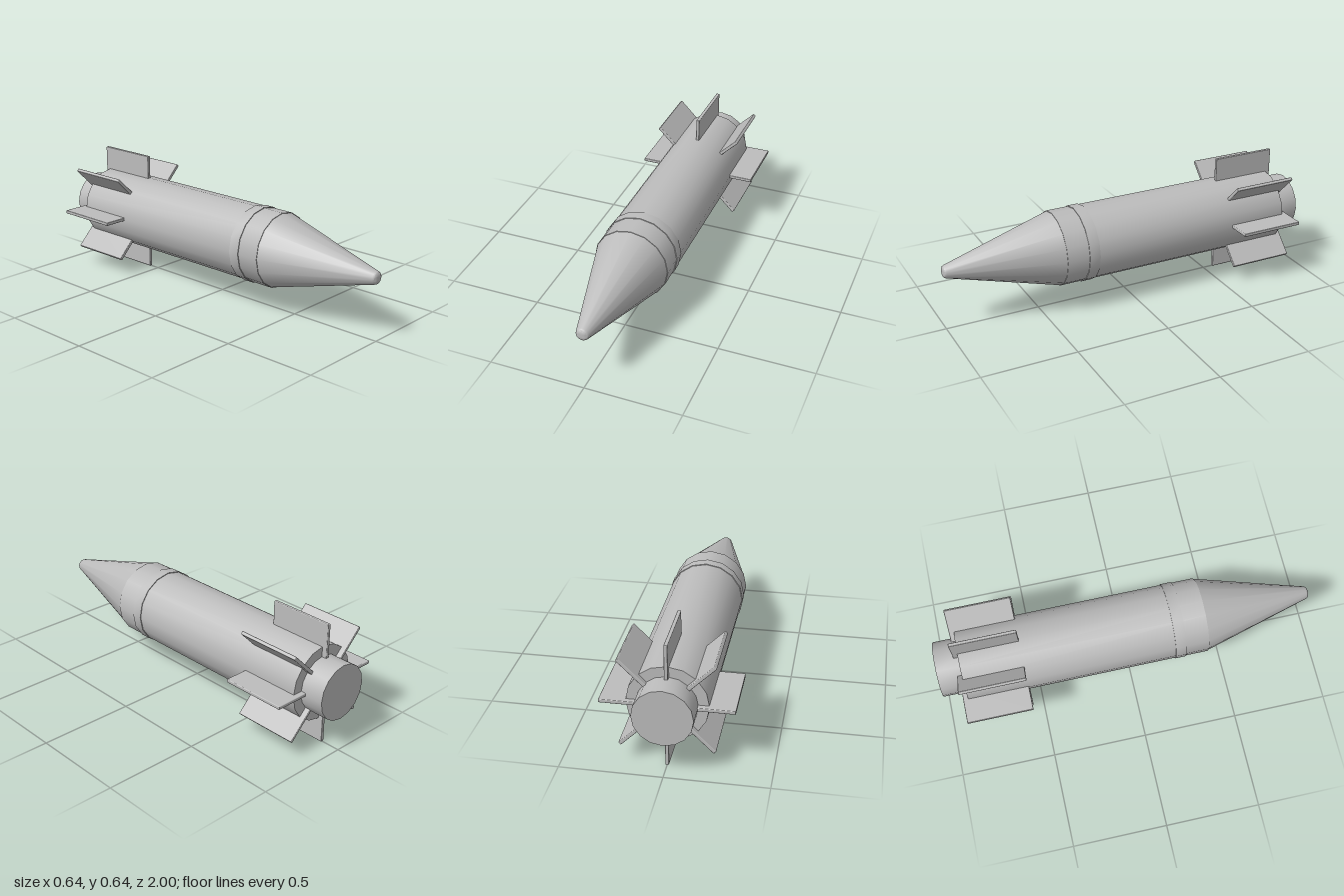
import * as THREE from 'three';
import { RoundedBoxGeometry } from 'three/addons/geometries/RoundedBoxGeometry.js';
import { toCreasedNormals } from 'three/addons/utils/BufferGeometryUtils.js';

const SIDES = 16;
const AXIS_HEIGHT = 0.321;

// Revolve [radius, z] points, listed from back to front, about the z axis
function revolve(profile, material, name) {
  const points = profile.map(([r, z]) => new THREE.Vector2(r, z));
  const geometry = new THREE.LatheGeometry(points, SIDES).rotateX(Math.PI / 2);
  const mesh = new THREE.Mesh(toCreasedNormals(geometry, 0.6), material);
  mesh.name = name;
  return mesh;
}

export function createModel() {
  const model = new THREE.Group();
  model.name = 'rocket';
  const grey = new THREE.MeshStandardMaterial({ color: 0xbcbcbc });
  grey.name = 'light grey metal';

  const rocket = new THREE.Group();
  rocket.name = 'airframe';
  rocket.position.y = AXIS_HEIGHT;
  model.add(rocket);

  // Main tube, closed at both ends
  rocket.add(revolve([[0, -0.873], [0.197, -0.873], [0.197, 0.408], [0, 0.408]], grey, 'body'));

  // Tapered nose, set in slightly from the tube, with a rounded tip
  rocket.add(revolve([
    [0.194, 0.408], [0.034, 0.985], [0.03, 0.993], [0.022, 0.998], [0.012, 1], [0, 1],
  ], grey, 'noseCone'));

  // Slightly raised collar with crisp edges
  rocket.add(revolve([
    [0.195, 0.23], [0.201, 0.23], [0.201, 0.288], [0.195, 0.288],
  ], grey, 'collar'));

  // Tail plug
  rocket.add(revolve([[0, -1], [0.145, -1], [0.145, -0.86]], grey, 'tailPlug'));

  // Eight radial fins
  const inner = 0.133, outer = 0.321;
  const finGeometry = new RoundedBoxGeometry(outer - inner, 0.018, 0.345, 2, 0.004);
  finGeometry.translate((inner + outer) / 2, 0, -0.7275);
  for (let i = 0; i < 8; i++) {
    const fin = new THREE.Mesh(finGeometry, grey);
    fin.name = 'fin' + (i + 1);
    fin.rotation.z = i * Math.PI / 4;
    rocket.add(fin);
  }
  return model;
}
